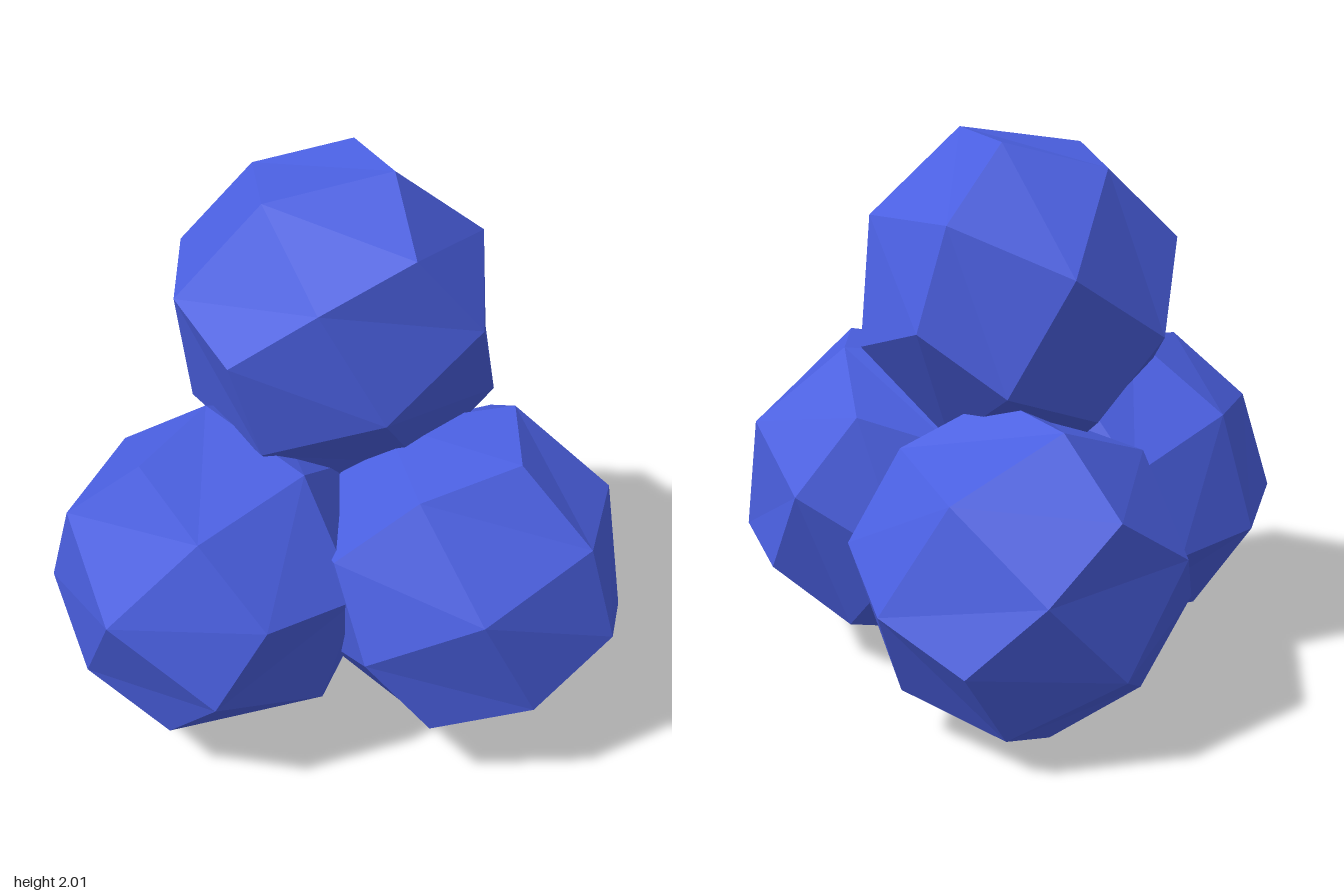
import * as THREE from 'three';

// Radii of the face centres, edge midpoints and corners of a rounded cube
const RADII = { 1: 0.577, 2: 0.591, 3: 0.598 };

// Position of each faceted ball and two of its cube axes
const BALLS = [
  { name: 'topBall', at: [0.06, 1.448, 0.013], u: [-0.28, 0.482, 0.147], v: [0.5, 0.282, 0.037] },
  { name: 'rightBall', at: [-0.401, 0.631, 0.258], u: [-0.439, 0.059, 0.372], v: [0.251, 0.469, 0.222] },
  { name: 'leftBall', at: [0.42, 0.645, 0.43], u: [-0.155, 0.217, 0.96], v: [0.9, 0.456, 0.042] },
  { name: 'backBall', at: [0.16, 0.573, -0.413], u: [0.56, 0.644, -0.525], v: [0.741, -0.644, -0.027] },
];

// A cube with four quads per side, pushed out to a ball
function ballGeometry() {
  const geometry = new THREE.BoxGeometry(2, 2, 2, 2, 2, 2);
  const pos = geometry.attributes.position;
  const p = new THREE.Vector3();
  for (let i = 0; i < pos.count; i++) {
    p.fromBufferAttribute(pos, i).round();
    const kind = Math.abs(p.x) + Math.abs(p.y) + Math.abs(p.z);
    p.setLength(RADII[kind]);
    pos.setXYZ(i, p.x, p.y, p.z);
  }
  const flat = geometry.toNonIndexed();
  flat.computeVertexNormals();
  return flat;
}

export function createModel() {
  const model = new THREE.Group();
  model.name = 'ballCluster';
  const geometry = ballGeometry();
  const material = new THREE.MeshStandardMaterial({ color: 0x4a5fe0, flatShading: true });

  // Three balls on the ground carry the fourth
  for (const { name, at, u, v } of BALLS) {
    const x = new THREE.Vector3(...u).normalize();
    const z = x.clone().cross(new THREE.Vector3(...v)).normalize();
    const y = z.clone().cross(x);
    const ball = new THREE.Mesh(geometry, material);
    ball.name = name;
    ball.position.set(...at);
    ball.quaternion.setFromRotationMatrix(new THREE.Matrix4().makeBasis(x, y, z));
    model.add(ball);
  }
  return model;
}
